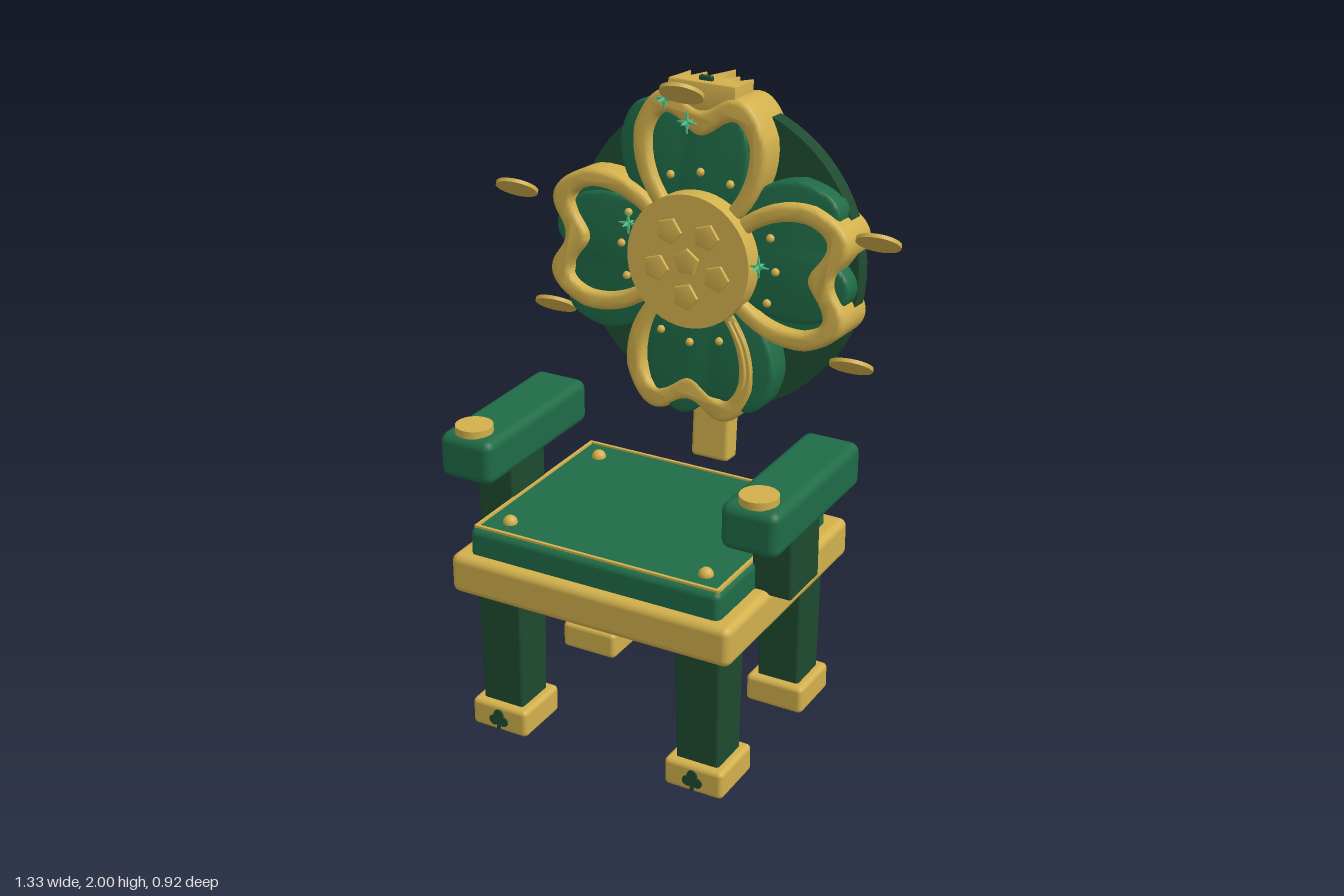
import * as THREE from 'three';
import { toCreasedNormals } from 'three/addons/utils/BufferGeometryUtils.js';
import { RoundedBoxGeometry } from 'three/addons/geometries/RoundedBoxGeometry.js';

const mat = (name, color) => {
  const m = new THREE.MeshStandardMaterial({ color });
  m.name = name;
  return m;
};
const gold = mat('gold', 0xd2b04c);
const green = mat('green', 0x1f6b47);
const dark = mat('dark green', 0x1f4a30);
const mint = mat('mint sparkle', 0x55c890);

function add(parent, name, geo, material, x = 0, y = 0, z = 0) {
  const m = new THREE.Mesh(geo, material);
  m.name = name;
  m.position.set(x, y, z);
  parent.add(m);
  return m;
}
const box = (w, h, d, r) => new RoundedBoxGeometry(w, h, d, 3, r);

// extrusion spanning z0..z1 with a rounded edge that stays inside the outline
function slab(shape, z0, z1, bevel = 0) {
  const g = new THREE.ExtrudeGeometry(shape, {
    depth: z1 - z0 - 2 * bevel, curveSegments: 12, bevelEnabled: bevel > 0,
    bevelSize: bevel, bevelThickness: bevel, bevelOffset: -bevel, bevelSegments: 3,
  });
  g.translate(0, 0, z0 + bevel);
  return toCreasedNormals(g, 0.6);
}

// mirrored heart petal: start point on the axis, then three bezier curves up one side
function petalOutline(path, start, curves, s = 1) {
  path.moveTo(0, start * s);
  curves.forEach((c) => path.bezierCurveTo(...c.map((v) => v * s)));
  const ends = [[0, start], ...curves.map((c) => [c[4], c[5]])];
  for (let i = curves.length - 1; i >= 0; i--) {
    const c = curves[i], e = ends[i];
    path.bezierCurveTo(-c[2] * s, c[3] * s, -c[0] * s, c[1] * s, -e[0] * s, e[1] * s);
  }
  return path;
}
const OUTER = [
  [0.15, 0.11, 0.24, 0.24, 0.22, 0.38],
  [0.20, 0.44, 0.16, 0.51, 0.10, 0.498],
  [0.06, 0.49, 0.04, 0.452, 0, 0.452],
];
const INNER = [
  [0.11, 0.15, 0.175, 0.25, 0.165, 0.36],
  [0.15, 0.42, 0.12, 0.44, 0.09, 0.425],
  [0.05, 0.41, 0.03, 0.375, 0, 0.375],
];

function polygon(n, r, start) {
  const pts = [];
  for (let i = 0; i < n; i++) {
    const a = start + (i * 2 * Math.PI) / n;
    pts.push(new THREE.Vector2(r * Math.cos(a), r * Math.sin(a)));
  }
  return new THREE.Shape(pts);
}

// three-leaf emblem, facing +z
function clover() {
  const g = new THREE.Group();
  g.name = 'clover';
  for (const [x, y] of [[0, 0.016], [-0.016, -0.006], [0.016, -0.006]])
    add(g, 'cloverLeaf', new THREE.CylinderGeometry(0.017, 0.017, 0.006, 16).rotateX(Math.PI / 2), dark, x, y, 0);
  add(g, 'cloverStem', new THREE.BoxGeometry(0.012, 0.035, 0.006), dark, 0, -0.017, 0);
  return g;
}

function tube(points, r, closed = false, n = 32) {
  const c = new THREE.CatmullRomCurve3(points.map((p) => new THREE.Vector3(...p)), closed);
  return new THREE.TubeGeometry(c, n, r, 6, closed);
}

function buildBase(chair) {
  // tapered legs with block feet
  for (const x of [-0.34, 0.34]) for (const z of [0.325, -0.21]) {
    const leg = box(0.16, 0.41, 0.16, 0.012);
    const p = leg.attributes.position;
    for (let i = 0; i < p.count; i++) {
      const s = 0.92 + 0.18 * p.getY(i);
      p.setX(i, p.getX(i) * s);
      p.setZ(i, p.getZ(i) * s);
    }
    add(chair, 'leg', leg, dark, x, 0.28, z);
    add(chair, 'foot', box(0.196, 0.092, 0.196, 0.016), gold, x, 0.051, z);
    const sole = clover();
    sole.rotation.x = Math.PI / 2;
    sole.position.set(x, 0.004, z);
    chair.add(sole);
    if (z > 0) {
      const front = clover();
      front.position.set(x, 0.05, z + 0.1);
      chair.add(front);
    }
  }

  // seat frame, cushion, piping and studs
  add(chair, 'seatFrame', box(0.945, 0.128, 0.805, 0.025), gold, 0, 0.546, 0.058);
  add(chair, 'cushion', box(0.845, 0.13, 0.71, 0.022), green, 0, 0.63, 0.07);
  for (const s of [-1, 1]) {
    add(chair, 'piping', new THREE.BoxGeometry(0.825, 0.014, 0.01), gold, 0, 0.694, 0.07 + s * 0.335);
    add(chair, 'piping', new THREE.BoxGeometry(0.01, 0.014, 0.67), gold, s * 0.408, 0.694, 0.07);
    for (const z of [0.335, -0.185])
      add(chair, 'cushionStud', new THREE.SphereGeometry(0.023, 12, 8), gold, s * 0.333, 0.697, z);

    // armrests
    add(chair, 'armPost', box(0.128, 0.24, 0.188, 0.01), dark, s * 0.475, 0.715, 0.105);
    add(chair, 'armrest', box(0.184, 0.145, 0.567, 0.03), green, s * 0.475, 0.8775, 0.077);
    add(chair, 'armCoin', new THREE.CylinderGeometry(0.058, 0.058, 0.024, 32), gold, s * 0.478, 0.96, 0.295);
  }
}

function buildBack(chair) {
  const back = new THREE.Group();
  back.name = 'flowerBack';
  back.position.set(0, 1.42, -0.28);
  back.rotation.x = -0.07;
  chair.add(back);

  add(back, 'backPost', box(0.132, 0.905, 0.07, 0.015), gold, 0, -0.248, -0.108);
  add(back, 'backDisc', toCreasedNormals(
    new THREE.CylinderGeometry(0.48, 0.48, 0.06, 64).rotateX(Math.PI / 2), 0.6), dark, 0.02, -0.005, -0.035);

  // four heart petals, each with a gold rim, a green face and a turned under-petal
  const rimShape = petalOutline(new THREE.Shape(), 0.03, OUTER);
  rimShape.holes.push(petalOutline(new THREE.Path(), 0.08, INNER));
  const rim = slab(rimShape, -0.088, 0.09, 0.016);
  const face = slab(petalOutline(new THREE.Shape(), 0.04, OUTER, 0.92), -0.01, 0.05);
  const under = petalOutline(new THREE.Shape(), 0.04, OUTER, 0.97);
  for (let i = 0; i < 4; i++) {
    const petal = new THREE.Group();
    petal.name = 'petal';
    petal.rotation.z = (i * Math.PI) / 2;
    back.add(petal);
    add(petal, 'petalRim', rim, gold);
    add(petal, 'petalFace', face, green);
    add(petal, 'underPetal', slab(under, -0.025, i === 2 ? 0.085 : 0.06, 0.012), green).rotation.z = 0.2;
    for (const [x, y] of [[-0.1, 0.24], [0, 0.262], [0.1, 0.24]])
      add(petal, 'petalStud', new THREE.SphereGeometry(0.013, 10, 8), gold, x, y, i === 2 ? 0.087 : 0.062);
    if (i % 2) add(petal, 'petalGem', new THREE.SphereGeometry(1, 12, 8), dark, 0, 0.452, -0.035).scale.set(0.015, 0.012, 0.024);
  }

  // slender cords on the lower petal
  for (const d of [0, 0.018])
    add(back, 'petalCord', tube([[0.13 + d, -0.17, 0.09], [0.175 + d, -0.25, 0.092],
      [0.19 + d, -0.35, 0.092], [0.15 + d, -0.43, 0.09]], 0.006), gold);

  // flower centre with raised pentagons
  add(back, 'flowerCentre', toCreasedNormals(
    new THREE.CylinderGeometry(0.205, 0.208, 0.125, 48).rotateX(Math.PI / 2), 0.6), gold, 0, 0, 0.063);
  const pentagon = slab(polygon(5, 0.043, Math.PI / 2), 0.12, 0.134, 0.003);
  add(back, 'pentagon', pentagon, gold);
  for (let i = 0; i < 5; i++) {
    const a = -Math.PI / 2 + (i * 2 * Math.PI) / 5;
    add(back, 'pentagon', pentagon, gold, 0.107 * Math.cos(a), 0.107 * Math.sin(a), 0).rotation.z = a;
  }

  // crown lying flat with its points to the rear
  const half = [[0.11, -0.08], [0.105, 0.05], [0.072, -0.015], [0.055, 0.06], [0.028, 0.0]];
  const pts = [...half, [0, 0.14], ...half.slice().reverse().map(([x, y]) => [-x, y])];
  const crown = slab(new THREE.Shape(pts.map((p) => new THREE.Vector2(...p))), 0, 0.09, 0.004);
  add(back, 'crown', crown.rotateX(-Math.PI / 2), gold, 0, 0.445, 0);
  add(back, 'crownGem', box(0.045, 0.02, 0.016, 0.006), dark, 0, 0.54, 0.05);
}

function buildFloaters(chair) {
  // tilted coins hovering around the back
  const coin = new THREE.CylinderGeometry(0.066, 0.066, 0.012, 32);
  for (const [x, y, z] of [[-0.595, 1.565, -0.155], [0.605, 1.59, -0.175], [-0.5, 1.18, -0.215],
    [0.52, 1.18, -0.21], [0, 1.955, -0.118]])
    add(chair, 'coin', coin, gold, x, y, z).rotation.set(-0.66, 0, 0.1);

  // four-point sparkles
  const star = [];
  for (let i = 0; i < 8; i++) {
    const r = i % 2 ? 0.008 : 0.034, a = (i * Math.PI) / 4;
    star.push(new THREE.Vector2(r * Math.cos(a), r * Math.sin(a)));
  }
  const sparkle = slab(new THREE.Shape(star), -0.003, 0.003);
  for (const [x, y, z] of [[0, 1.86, -0.15], [-0.075, 1.92, -0.15], [-0.21, 1.51, -0.17], [0.23, 1.45, -0.17]]) {
    add(chair, 'sparkle', sparkle, mint, x, y, z);
    add(chair, 'sparkle', sparkle, mint, x, y, z).rotation.y = Math.PI / 2;
  }
}

export function createModel() {
  const model = new THREE.Group();
  const chair = new THREE.Group();
  chair.name = 'flowerChair';
  chair.position.x = -0.01;
  model.add(chair);
  buildBase(chair);
  buildBack(chair);
  buildFloaters(chair);
  return model;
}
